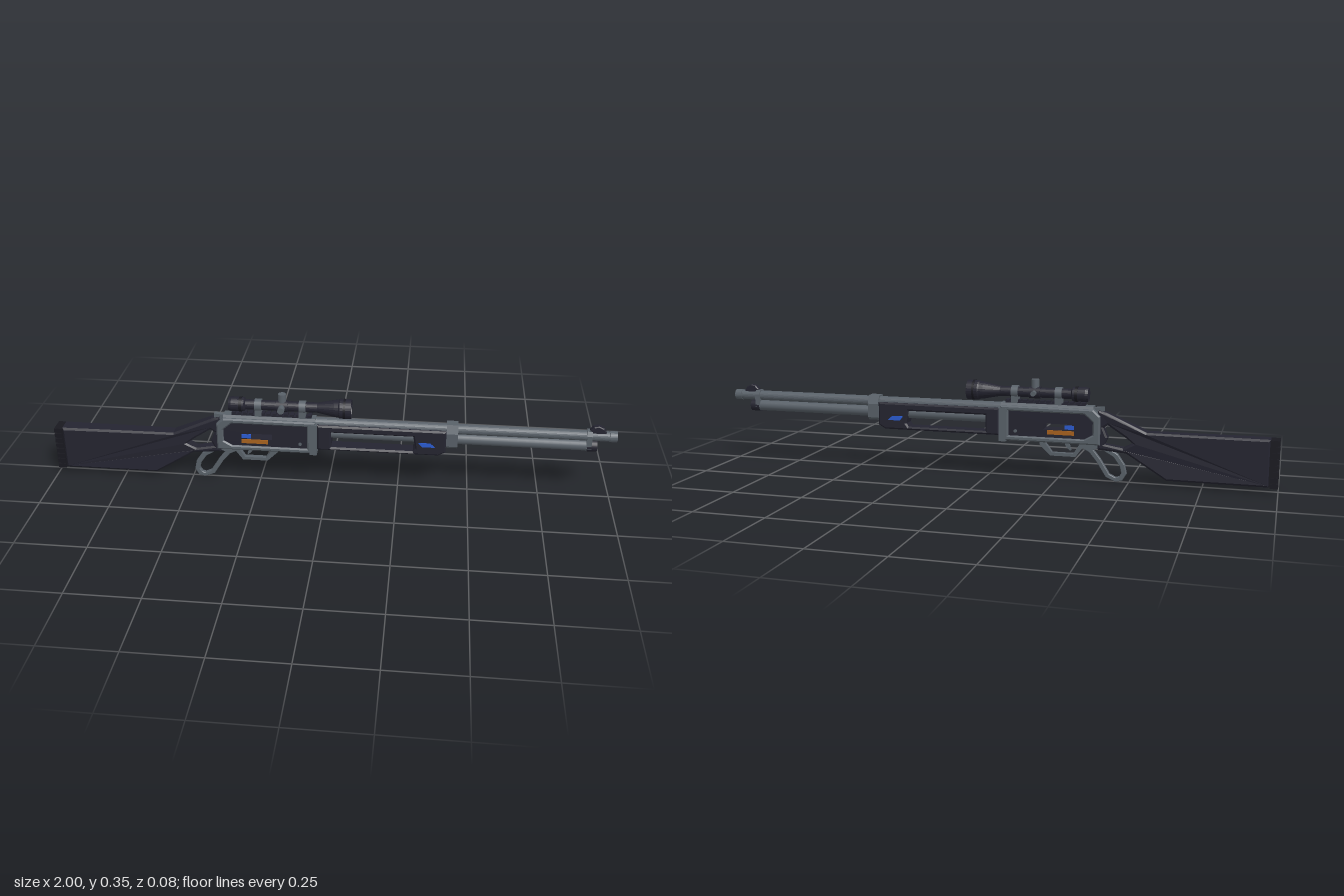
import * as THREE from 'three';

const mat = (name, color) => {
  const m = new THREE.MeshStandardMaterial({ color });
  m.name = name;
  return m;
};

export function createModel() {
  const steel = mat('gunmetal', 0x596169);
  const dark = mat('dark polymer', 0x242430);
  const black = mat('black rubber', 0x191920);
  const blue = mat('blue accent', 0x2b5bd0);
  const orange = mat('orange accent', 0xa8621e);
  const model = new THREE.Group();
  model.name = 'leverRifle';

  const add = (name, geo, m) => {
    const mesh = new THREE.Mesh(geo, m);
    mesh.name = name;
    model.add(mesh);
    return mesh;
  };
  const toShape = pts => new THREE.Shape(pts.map(p => new THREE.Vector2(p[0], p[1])));

  // Side outline in x/y, extruded evenly to both sides with chamfered edges
  const slab = (pts, half, bevel = 0, holes = []) => {
    const shape = toShape(pts);
    holes.forEach(h => shape.holes.push(toShape(h)));
    const depth = 2 * (half - bevel);
    return new THREE.ExtrudeGeometry(shape, {
      depth, bevelEnabled: bevel > 0, bevelThickness: bevel, bevelSize: bevel,
      bevelOffset: -bevel, bevelSegments: 1,
    }).translate(0, 0, -depth / 2);
  };
  // Cross-section of [z, y] points extruded along x; only one half is given
  const section = (halfPts, x0, x1) => {
    const pts = [...halfPts, ...halfPts.map(([z, y]) => [-z, y]).reverse()];
    return new THREE.ExtrudeGeometry(toShape(pts), { depth: x1 - x0, bevelEnabled: false })
      .rotateY(Math.PI / 2).translate(x0, 0, 0);
  };
  // Round part along x from [x, radius] pairs, left to right
  const turned = (name, profile, y, m, sides = 24) => {
    const pts = profile.map(([x, r]) => new THREE.Vector2(r, x));
    const geo = new THREE.LatheGeometry(pts, sides).toNonIndexed();
    geo.rotateZ(-Math.PI / 2).translate(0, y, 0);
    geo.computeVertexNormals();
    return add(name, geo, m);
  };
  const rod = (name, x0, x1, r, y, m) => {
    const geo = new THREE.CylinderGeometry(r, r, x1 - x0, 24);
    return add(name, geo.rotateZ(-Math.PI / 2).translate((x0 + x1) / 2, y, 0), m);
  };
  const box = (name, x0, x1, y0, y1, half, m) => add(name,
    new THREE.BoxGeometry(x1 - x0, y1 - y0, half * 2).translate((x0 + x1) / 2, (y0 + y1) / 2, 0), m);

  // Thumbhole stock, narrowing towards the receiver
  const stock = slab(
    [[-0.97, 0.02], [-0.63, 0.02], [-0.49, 0.105], [-0.39, 0.112], [-0.39, 0.25], [-0.42, 0.243], [-0.56, 0.182], [-0.97, 0.182]],
    0.031, 0.007,
    [[[-0.515, 0.14], [-0.485, 0.162], [-0.425, 0.2], [-0.41, 0.19], [-0.425, 0.155], [-0.415, 0.132], [-0.48, 0.122]]]);
  const sp = stock.attributes.position;
  for (let i = 0; i < sp.count; i++) {
    const t = THREE.MathUtils.clamp((sp.getX(i) + 0.64) / 0.2, 0, 1);
    sp.setZ(i, sp.getZ(i) * (1 - 0.45 * t));
  }
  stock.computeVertexNormals();
  add('stock', stock, dark);

  // Ribbed butt pad
  box('buttPad', -0.992, -0.968, 0.022, 0.18, 0.027, black);
  for (let i = 0; i < 8; i++) {
    const y = 0.017 + i * 0.0208;
    box('buttPadRib', -1, -0.972, y, y + 0.016, 0.03, black);
  }

  // Receiver frame with a recessed, pierced side panel
  const panel = [[-0.375, 0.165], [-0.345, 0.148], [-0.075, 0.148], [-0.075, 0.236], [-0.345, 0.236], [-0.375, 0.21]];
  add('receiverFrame', slab(
    [[-0.4, 0.13], [-0.045, 0.13], [-0.045, 0.254], [-0.375, 0.254], [-0.4, 0.23]],
    0.032, 0.005, [panel]), steel);
  add('receiverPanel', slab(panel, 0.026, 0,
    [[[-0.285, 0.176], [-0.2, 0.176], [-0.2, 0.197], [-0.285, 0.197]]]), dark);
  add('receiverTop', section([[0.027, 0.245], [0.016, 0.263]], -0.375, -0.045), steel);
  box('receiverCollar', -0.065, -0.04, 0.126, 0.245, 0.033, steel);
  add('hammer', slab([[-0.41, 0.235], [-0.38, 0.235], [-0.375, 0.258], [-0.41, 0.262]], 0.008), steel);
  for (const s of [1, -1]) {
    const bar = add('shellCarrier', new THREE.BoxGeometry(0.095, 0.015, 0.006), orange);
    bar.position.set(-0.263, 0.167, s * 0.027);
    const tag = add('boltMark', new THREE.BoxGeometry(0.034, 0.014, 0.006), blue);
    tag.position.set(-0.293, 0.187, s * 0.027);
    const pin = add('receiverPin', new THREE.CylinderGeometry(0.006, 0.006, 0.004, 12).rotateX(Math.PI / 2), steel);
    pin.position.set(-0.1, 0.165, s * 0.027);
  }

  // Lever loop, trigger guard and trigger
  add('leverLoop', slab(
    [[-0.4, 0.132], [-0.46, 0.098], [-0.485, 0.062], [-0.492, 0.03], [-0.478, 0.006], [-0.455, 0], [-0.42, 0.015],
      [-0.385, 0.07], [-0.36, 0.1], [-0.33, 0.115], [-0.33, 0.132]],
    0.009, 0.002,
    [[[-0.398, 0.116], [-0.447, 0.087], [-0.469, 0.055], [-0.474, 0.032], [-0.466, 0.019], [-0.454, 0.015],
      [-0.432, 0.026], [-0.4, 0.077], [-0.375, 0.108]]]), steel);
  add('triggerGuard', slab(
    [[-0.35, 0.132], [-0.312, 0.08], [-0.222, 0.08], [-0.183, 0.118], [-0.183, 0.132], [-0.198, 0.132],
      [-0.228, 0.091], [-0.304, 0.091], [-0.33, 0.132]], 0.009), steel);
  add('trigger', slab([[-0.285, 0.135], [-0.27, 0.135], [-0.277, 0.115], [-0.292, 0.1], [-0.296, 0.103]], 0.005), steel);

  // Barrel, magazine tube and muzzle
  turned('barrel', [[-0.05, 0], [-0.05, 0.019], [0.975, 0.018], [0.975, 0.0195], [1, 0.0195], [1, 0.011], [0.985, 0.011], [0.985, 0]], 0.243, steel);
  rod('magazineTube', -0.05, 0.925, 0.02, 0.206, steel);
  rod('magazineCap', 0.9, 0.935, 0.0215, 0.205, dark);

  // Slotted fore-end with coloured marks
  add('foreEnd', slab(
    [[-0.04, 0.146], [0.39, 0.146], [0.415, 0.16], [0.415, 0.243], [-0.04, 0.243]], 0.029, 0.006,
    [[[0.01, 0.158], [0.3, 0.158], [0.308, 0.17], [0.3, 0.216], [0.01, 0.216]]]), dark);
  for (const s of [1, -1]) {
    const mark = add('foreEndMark', slab([[0.318, 0.196], [0.36, 0.196], [0.378, 0.18], [0.332, 0.18]], 0.003), blue);
    mark.position.z = s * 0.028;
  }

  // Barrel bands
  const band = [[0.018, 0.176], [0.028, 0.186], [0.03, 0.236], [0.017, 0.266]];
  add('barrelBand', section(band, 0.415, 0.455), steel);
  add('frontBand', section([[0.015, 0.19], [0.021, 0.2], [0.021, 0.248], [0.012, 0.264]], 0.897, 0.915), steel);

  // Front sight
  add('frontSight', slab(
    [[0.905, 0.25], [0.965, 0.25], [0.962, 0.262], [0.952, 0.276], [0.935, 0.284], [0.918, 0.28], [0.907, 0.268]],
    0.011, 0.003), dark);

  // Notched top rail
  box('rail', -0.345, -0.06, 0.258, 0.267, 0.014, dark);
  for (let i = 0; i < 14; i++) {
    const x = -0.345 + i * 0.0209;
    box('railTooth', x, x + 0.013, 0.266, 0.274, 0.014, dark);
  }

  // Telescopic sight
  const sy = 0.301;
  turned('scopeTube', [[-0.355, 0], [-0.355, 0.024], [-0.345, 0.026], [-0.3, 0.025], [-0.295, 0.018], [-0.04, 0.018],
    [-0.02, 0.022], [0.02, 0.03], [0.035, 0.032], [0.04, 0.035], [0.08, 0.035], [0.08, 0.031], [0.074, 0.03], [0.074, 0]], sy, dark);
  rod('eyepieceRing', -0.318, -0.308, 0.0265, sy, black);
  rod('objectiveRing', 0.052, 0.06, 0.0355, sy, black);
  for (const x of [-0.25, -0.093]) {
    rod('scopeRing', x - 0.012, x + 0.012, 0.0225, sy, steel);
    box('scopeMount', x - 0.012, x + 0.012, 0.262, 0.29, 0.017, steel);
  }

  // Adjustment turrets
  const knob = (name, r, len) => add(name, new THREE.CylinderGeometry(r, r, len, 20), steel);
  rod('turretBlock', -0.185, -0.145, 0.021, sy, dark);
  knob('topTurret', 0.014, 0.04).position.set(-0.165, 0.328, 0);
  const side = knob('sideTurret', 0.012, 0.034);
  side.rotation.x = Math.PI / 2;
  side.position.set(-0.165, sy, 0.027);
  const small = knob('smallTurret', 0.009, 0.03);
  small.rotation.x = Math.PI / 2;
  small.position.set(-0.165, sy, -0.025);

  return model;
}
